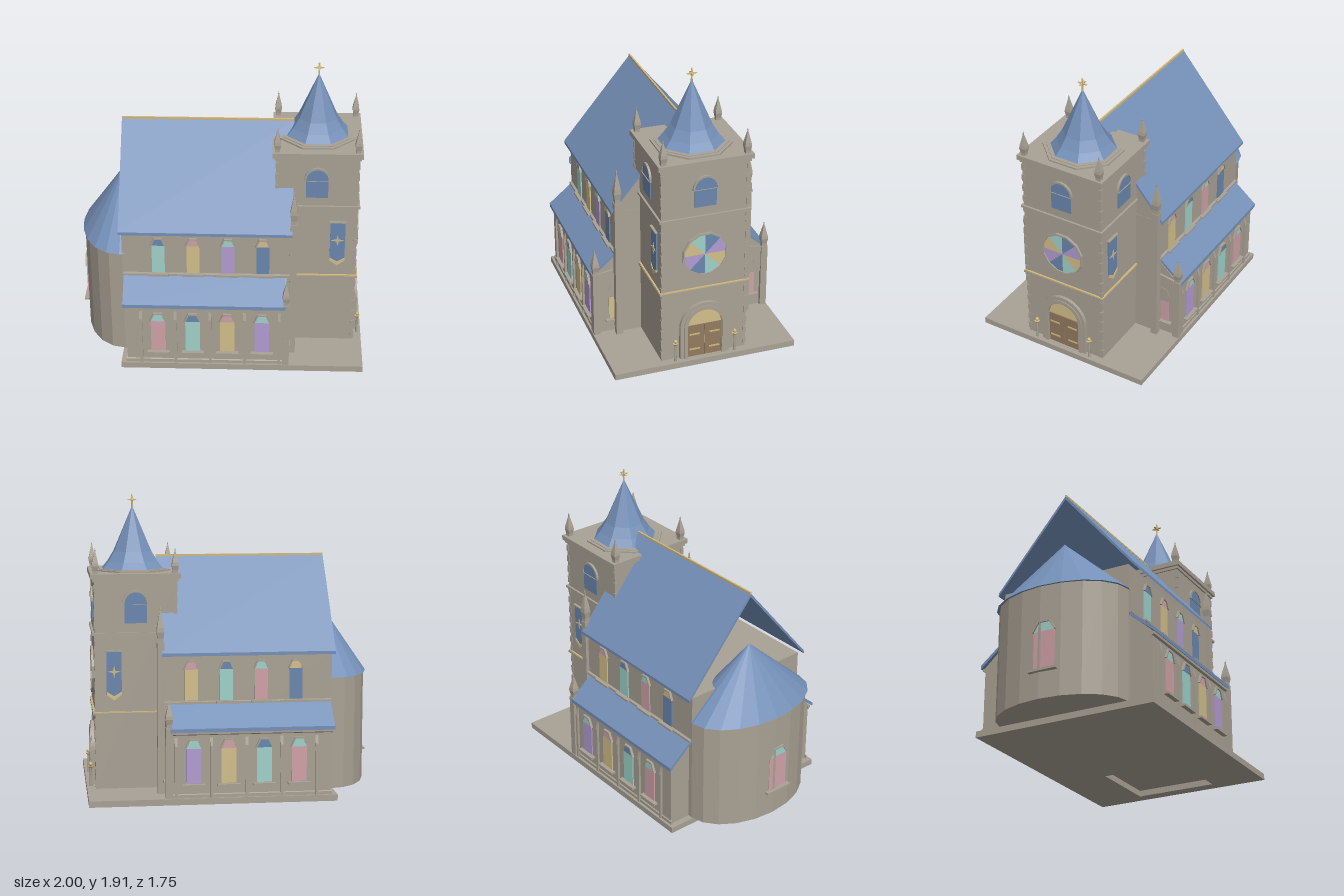
import * as THREE from 'three';

const mat = (name, color) => Object.assign(new THREE.MeshStandardMaterial({ color }), { name });

export function createModel() {
  const stone = mat('stone', 0xa9a194), roofBlue = mat('roof slate', 0x7590b8), gold = mat('gold', 0xcfb87e);
  const pink = mat('pink glass', 0xd0a2a8), teal = mat('teal glass', 0x9fd2ca), tan = mat('amber glass', 0xd2bf8a);
  const purple = mat('purple glass', 0xb39cd2), blue = mat('blue glass', 0x6a86ae), wood = mat('door wood', 0x937a5f);
  const topColour = new Map([[pink, teal], [teal, blue], [tan, pink], [purple, teal], [blue, tan]]);

  const model = new THREE.Group();
  model.name = 'church';
  const root = new THREE.Group(); // local x runs apse to tower, z across the nave
  root.name = 'churchBody';
  root.position.x = 0.034;
  root.rotation.y = THREE.MathUtils.degToRad(24);
  model.add(root);

  // ---- helpers
  const add = (name, geo, material, parent = root) => {
    const m = new THREE.Mesh(geo, material);
    m.name = name;
    parent.add(m);
    return m;
  };
  const flat = (g) => { const n = g.toNonIndexed(); n.computeVertexNormals(); return n; };
  const box = (name, x0, x1, y0, y1, z0, z1, m = stone, parent = root) =>
    add(name, new THREE.BoxGeometry(x1 - x0, y1 - y0, z1 - z0)
      .translate((x0 + x1) / 2, (y0 + y1) / 2, (z0 + z1) / 2), m, parent);
  const poly = (pts) => new THREE.Shape(pts.map(([x, y]) => new THREE.Vector2(x, y)));
  const rect = (x0, x1, y0, y1) => poly([[x0, y0], [x1, y0], [x1, y1], [x0, y1]]);
  const extrude = (shape, depth) => new THREE.ExtrudeGeometry(shape, { depth, bevelEnabled: false, curveSegments: 10 });
  // cross-section of (z, y) points swept from x0 to x1
  const prism = (name, pts, x0, x1, m = stone) =>
    add(name, extrude(poly(pts.map(([z, y]) => [-z, y])), x1 - x0).rotateY(Math.PI / 2).translate(x0, 0, 0), m);
  // group whose local xy plane lies on a wall and whose +z points outwards
  const wall = (name, x, z, turn) => {
    const g = new THREE.Group();
    g.name = name;
    g.position.set(x, 0, z);
    g.rotation.y = turn;
    root.add(g);
    return g;
  };
  const arch = (w, y0, y1) => {
    const r = w / 2, s = new THREE.Shape();
    s.moveTo(-r, y0); s.lineTo(r, y0); s.lineTo(r, y1 - r);
    s.absarc(0, y1 - r, r, 0, Math.PI, false);
    s.closePath();
    return s;
  };
  const ringed = (outer, inner) => { outer.holes.push(inner); return outer; };
  const star = (r, n = 4) => poly(Array.from({ length: n * 2 }, (_, i) => {
    const a = i * Math.PI / n, k = i % 2 ? r * 0.25 : r;
    return [Math.sin(a) * k, Math.cos(a) * k];
  }));

  // pointed window with a differently coloured head, a hood and a sill
  const lancet = (g, w, y0, y1, glass) => {
    const ys = y1 - (y1 - y0) * 0.19, h = w / 2, f = 0.01;
    add('windowGlass', extrude(rect(-h, h, y0, ys), 0.008), glass, g);
    add('windowHead', extrude(poly([[-h, ys], [h, ys], [h / 2, y1], [-h / 2, y1]]), 0.008), topColour.get(glass), g);
    add('windowHood', extrude(poly([[-h - f, ys], [-h, ys], [-h / 2, y1], [h / 2, y1], [h, ys], [h + f, ys],
      [h / 2 + f / 2, y1 + f], [-h / 2 - f / 2, y1 + f]]), 0.016), stone, g);
    box('windowSill', -h - 0.025, h + 0.025, y0 - 0.018, y0 - 0.004, 0, 0.03, stone, g);
  };

  // square pinnacle: collar, slightly swollen spire and thin tip
  const pinnacle = (x, y, z, w, h) => {
    const pts = [[0.72, 0], [0.72, 0.12], [0.95, 0.3], [0.85, 0.42], [0.12, 0.88], [0.16, 0.92], [0.001, 1]];
    const g = new THREE.LatheGeometry(pts.map(([r, t]) => new THREE.Vector2(r * w * 0.7, t * h)), 4);
    add('pinnacle', flat(g.rotateY(Math.PI / 4)).translate(x, y, z), stone);
  };

  // ---- base, hollow under the tower, and nave
  const base = extrude(ringed(rect(-0.783, 0.783, -0.608, 0.608), rect(0.22, 0.7, -0.27, 0.27)), 0.04);
  add('base', base.rotateX(-Math.PI / 2), stone);
  box('nave', -0.77, 0.31, 0.04, 0.93, -0.44, 0.44);
  prism('naveRoof', [[-0.478, 0.938], [0, 1.512], [0.478, 0.938], [0.478, 0.918], [0, 1.488], [-0.478, 0.918]], -0.787, 0.315, roofBlue);
  prism('naveFrontGable', [[-0.44, 0.92], [0.44, 0.92], [0.44, 0.955], [0.06, 1.41], [-0.06, 1.41], [-0.44, 0.955]], 0.27, 0.308);
  box('ridgeCap', -0.787, 0.315, 1.506, 1.52, -0.006, 0.006, gold);

  // ---- aisles, clerestory, windows and buttresses on both sides
  const windowX = [-0.538, -0.316, -0.093, 0.129];
  const aisleGlass = [pink, teal, tan, purple];
  for (const s of [1, -1]) {
    const side = (pts) => pts.map(([z, y]) => [z * s, y]);
    const clerestoryGlass = s > 0 ? [teal, tan, purple, blue] : [blue, pink, teal, tan];
    prism('aisle', side([[0.42, 0.04], [0.585, 0.04], [0.585, 0.47], [0.42, 0.62]]), -0.742, 0.28);
    prism('aisleRoof', side([[0.43, 0.628], [0.606, 0.482], [0.606, 0.458], [0.43, 0.606]]), -0.762, 0.276, roofBlue);
    prism('aisleGable', side([[0.42, 0.3], [0.597, 0.3], [0.597, 0.48], [0.42, 0.51]]), 0.27, 0.294);
    prism('aisleCornice', side([[0.58, 0.435], [0.598, 0.445], [0.598, 0.462], [0.58, 0.462]]), -0.75, 0.28);
    prism('aislePlinth', side([[0.58, 0.04], [0.592, 0.04], [0.592, 0.06], [0.58, 0.068]]), -0.75, 0.29);
    prism('stringCourse', side([[0.43, 0.61], [0.456, 0.61], [0.456, 0.624], [0.43, 0.63]]), -0.765, 0.3);
    windowX.forEach((x, i) => {
      const turn = s > 0 ? 0 : Math.PI;
      lancet(wall('aisleWindow', x, 0.586 * s, turn), 0.094, 0.132, 0.405, aisleGlass[i]);
      lancet(wall('clerestoryWindow', x, 0.441 * s, turn), 0.082, 0.632, 0.875, clerestoryGlass[i]);
    });
    for (let i = 0; i < 5; i++) {
      const x = -0.649 + i * 0.222;
      prism('buttress', side([[0.58, 0.04], [0.6, 0.04], [0.6, 0.37], [0.58, 0.44]]), x - 0.009, x + 0.009);
    }
    // piers and pinnacles at the front corners
    box('navePier', 0.299, 0.343, 0.04, 1.0, s * 0.44 - 0.022, s * 0.44 + 0.022);
    pinnacle(0.322, 1.0, s * 0.44, 0.05, 0.23);
    box('aislePier', 0.26, 0.304, 0.04, 0.49, s * 0.582 - 0.022, s * 0.582 + 0.022);
    pinnacle(0.282, 0.49, s * 0.582, 0.05, 0.175);
    lancet(wall('aisleFrontWindow', 0.281, s > 0 ? 0.465 : -0.49, Math.PI / 2), 0.06, 0.14, 0.395, s > 0 ? tan : pink);
  }

  // ---- apse: elliptical drum and conical roof
  const drum = new THREE.CylinderGeometry(1, 1, 0.72, 10, 1, false, Math.PI, Math.PI).scale(0.284, 1, 0.44);
  add('apse', flat(drum).translate(-0.77, 0.4, 0), stone);
  const apseCone = new THREE.ConeGeometry(1, 0.405, 20).scale(0.279, 1, 0.45);
  add('apseRoof', flat(apseCone).translate(-0.787, 0.9625, 0), roofBlue);
  lancet(wall('apseWindow', -1.045, 0.03, -Math.PI / 2), 0.14, 0.225, 0.52, pink);

  // ---- tower
  const cx = 0.465, hx = 0.262, hz = 0.284;
  const slab = (name, grow, y0, y1, m) => box(name, cx - hx - grow, cx + hx + grow, y0, y1, -hz - grow, hz + grow, m);
  slab('tower', 0, 0.04, 1.395, stone);
  slab('lowerStringCourse', 0.014, 0.522, 0.534, stone);
  slab('lowerStringTrim', 0.012, 0.534, 0.541, gold);
  slab('upperStringCourse', 0.014, 1.032, 1.048, stone);
  slab('towerCorbel', 0.01, 1.37, 1.392, stone);
  slab('towerCap', 0.023, 1.39, 1.422, stone);
  for (const sx of [1, -1]) for (const sz of [1, -1]) {
    pinnacle(cx + sx * 0.253, 1.42, sz * 0.269, 0.046, 0.165);
    for (let i = 0; i < 17; i++) { // corner stones
      const y = 0.06 + i * 0.078, w = 0.022;
      const x = cx + sx * (hx + 0.004 - w / 2), z = sz * (hz + 0.004 - w / 2);
      box('cornerStone', x - w / 2, x + w / 2, y, y + 0.045, z - w / 2, z + w / 2);
    }
  }

  // spire and star finial
  const octagon = (r, h) => new THREE.CylinderGeometry(r, r, h, 8, 1, false, Math.PI / 8);
  add('spirePlatform', flat(octagon(0.257, 0.014)).translate(cx, 1.425, 0), stone);
  add('spirePlatformTrim', flat(octagon(0.235, 0.008)).translate(cx, 1.432, 0), stone);
  const spire = new THREE.LatheGeometry([[0, 1.43], [0.214, 1.43], [0.17, 1.482], [0.13, 1.545], [0.001, 1.835]]
    .map(([r, y]) => new THREE.Vector2(r, y)), 8);
  add('spire', flat(spire.rotateY(Math.PI / 8)).translate(cx, 0, 0), roofBlue);
  add('finialStem', new THREE.CylinderGeometry(0.005, 0.007, 0.06, 6).translate(cx, 1.85, 0), gold);
  for (const turn of [0, Math.PI / 2])
    add('finialStar', extrude(star(0.035), 0.01).translate(0, 1.875, -0.005).rotateY(turn).translate(cx, 0, 0), gold);

  // belfry windows on three faces, banners on the two sides
  const faces = [[cx + hx, 0, Math.PI / 2], [cx, hz, 0], [cx, -hz, Math.PI]];
  for (const [x, z, turn] of faces) {
    const g = wall('belfryWindow', x, z, turn);
    add('belfryGlass', extrude(arch(0.14, 1.108, 1.305), 0.008), blue, g);
    add('belfryHood', extrude(ringed(arch(0.166, 1.225, 1.318), arch(0.14, 1.226, 1.305)), 0.014), stone, g);
  }
  for (const s of [1, -1]) {
    const g = wall('banner', 0.605, s * hz, s > 0 ? 0 : Math.PI);
    add('bannerCloth', extrude(poly([[-0.048, 0.655], [0, 0.625], [0.048, 0.655], [0.048, 0.93], [-0.048, 0.93]]), 0.009), blue, g);
    add('bannerHem', extrude(poly([[-0.048, 0.652], [0, 0.615], [0.048, 0.652], [0.048, 0.672], [0, 0.642], [-0.048, 0.672]]), 0.013), tan, g);
    add('bannerStar', extrude(star(0.042), 0.004).translate(0, 0.8, 0.009), gold, g);
    box('bannerRod', -0.055, 0.055, 0.928, 0.936, 0, 0.018, stone, g);
  }

  // ---- entrance front: door, rose window and lamps
  const front = wall('entranceFront', cx + hx, 0, Math.PI / 2);
  add('portal', extrude(ringed(arch(0.33, 0.04, 0.432), arch(0.226, 0.041, 0.378)), 0.022), stone, front);
  add('portalHood', extrude(ringed(arch(0.28, 0.04, 0.406), arch(0.232, 0.041, 0.382)), 0.028), stone, front);
  add('lunette', extrude(arch(0.226, 0.04, 0.378), 0.008), tan, front);
  for (const s of [1, -1]) {
    box('doorLeaf', s * 0.0565 - 0.055, s * 0.0565 + 0.055, 0.04, 0.27, 0, 0.014, wood, front);
    for (const y of [0.095, 0.205])
      box('doorHinge', s * 0.066 - 0.035, s * 0.066 + 0.035, y - 0.005, y + 0.005, 0.013, 0.018, gold, front);
    const lamp = new THREE.Group();
    lamp.name = 'lamp';
    lamp.position.set(s * 0.2, 0, 0.03);
    front.add(lamp);
    add('lampPost', new THREE.CylinderGeometry(0.006, 0.009, 0.13, 8).translate(0, 0.105, 0), stone, lamp);
    add('lampTray', new THREE.CylinderGeometry(0.018, 0.01, 0.012, 8).translate(0, 0.165, 0), gold, lamp);
    add('lampLight', new THREE.SphereGeometry(0.013, 8, 6).translate(0, 0.185, 0), gold, lamp);
  }
  const roseR = 0.14, roseColours = [teal, blue, purple, tan];
  for (let i = 0; i < 8; i++) {
    const pts = [[0, 0]];
    for (let k = 0; k <= 3; k++) {
      const a = (135 - (i + k / 3) * 45) * Math.PI / 180;
      pts.push([Math.cos(a) * roseR, Math.sin(a) * roseR]);
    }
    add('rosePane', extrude(poly(pts), 0.008).translate(0, 0.775, 0), roseColours[i % 4], front);
  }
  const disc = (r) => poly(Array.from({ length: 12 }, (_, i) =>
    [Math.cos((i + 0.5) * Math.PI / 6) * r, Math.sin((i + 0.5) * Math.PI / 6) * r]));
  add('roseFrame', extrude(ringed(disc(0.152), disc(0.14)), 0.016).translate(0, 0.775, 0), stone, front);

  return model;
}
